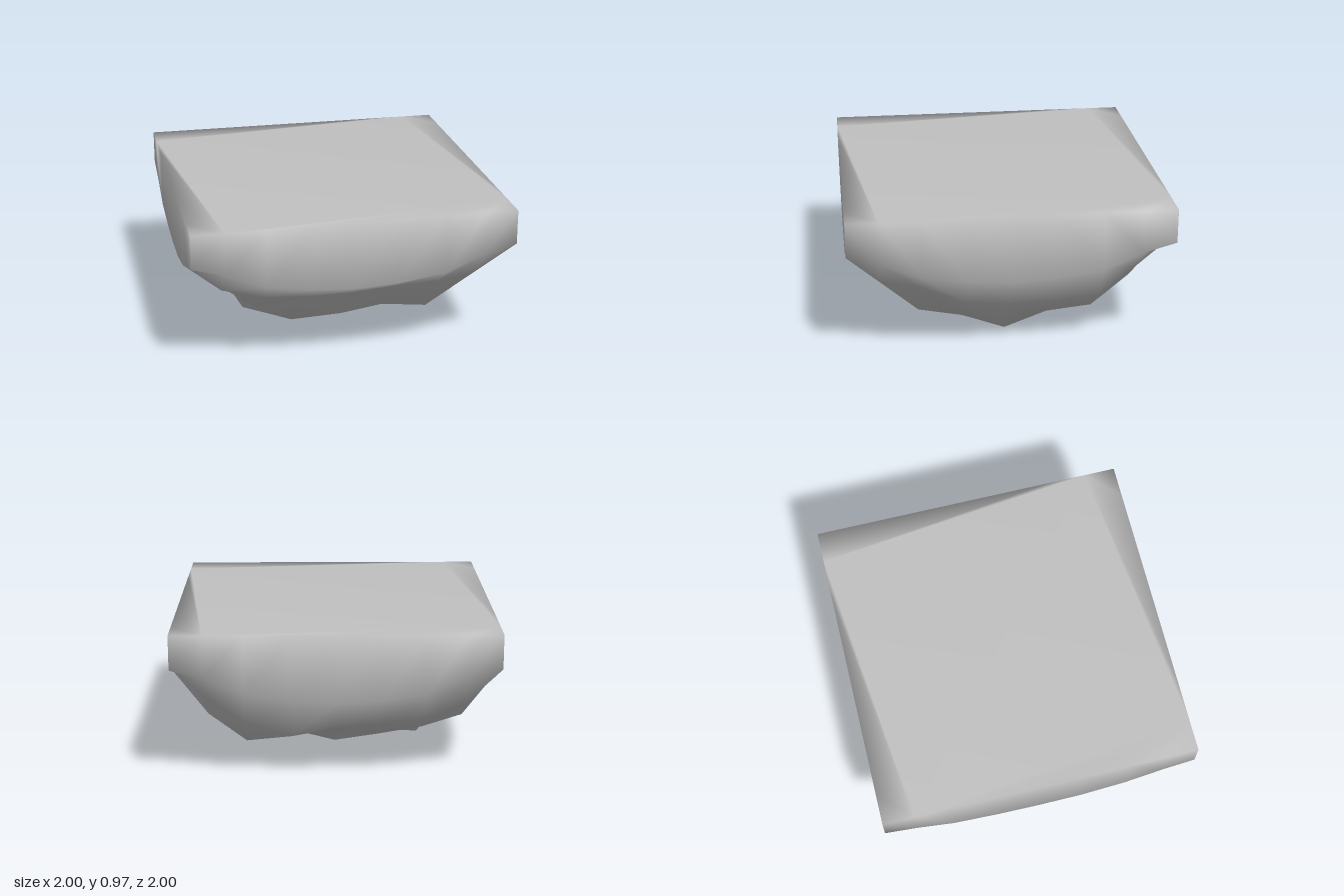
import * as THREE from 'three';
import { mergeVertices } from 'three/addons/utils/BufferGeometryUtils.js';

const TOP = 0.97;
const A = 0.8; // where the flat top's turned square meets the rim
const GRID = [-1, -A, -0.55, -0.27, 0, 0.27, 0.56, A, 1];

// Underside heights: rows run from front (z = 1) to back, columns along x
const HEIGHTS = [
  [0.755, 0.70, 0.60, 0.56, 0.545, 0.56, 0.60, 0.70, 0.755],
  [0.70, 0.52, 0.45, 0.43, 0.43, 0.45, 0.46, 0.50, 0.70],
  [0.60, 0.455, 0.275, 0.28, 0.18, 0.22, 0.185, 0.45, 0.60],
  [0.55, 0.42, 0.18, 0.035, 0.175, 0.20, 0.13, 0.33, 0.56],
  [0.545, 0.46, 0.03, 0.04, 0.00, 0.13, 0.03, 0.31, 0.545],
  [0.56, 0.42, 0.17, 0.10, 0.06, 0.13, 0.13, 0.31, 0.56],
  [0.60, 0.33, 0.25, 0.25, 0.34, 0.19, 0.16, 0.34, 0.60],
  [0.70, 0.48, 0.38, 0.35, 0.32, 0.27, 0.36, 0.53, 0.70],
  [0.755, 0.70, 0.60, 0.56, 0.545, 0.56, 0.60, 0.70, 0.755],
];

// Rocky underside; the outermost ring of the sheet folds up into the walls
function rockGeometry() {
  const sheet = new THREE.PlaneGeometry(2, 2, 10, 10).rotateX(Math.PI / 2);
  sheet.deleteAttribute('uv');
  sheet.deleteAttribute('normal');
  const pos = sheet.attributes.position;
  const clamp = (v) => Math.min(8, Math.max(0, v - 1));
  for (let r = 0; r < 11; r++) {
    for (let c = 0; c < 11; c++) {
      const rim = r === 0 || c === 0 || r === 10 || c === 10;
      const y = rim ? TOP : HEIGHTS[clamp(r)][clamp(c)];
      pos.setXYZ(r * 11 + c, GRID[clamp(c)], y, -GRID[clamp(r)]);
    }
  }
  return mergeVertices(sheet);
}

// Close the rim with a turned square and four narrow wedges, smooth with the walls
function addFlatTop(geo) {
  const p = geo.attributes.position;
  // Nearest rim vertex
  const find = ([x, z]) => {
    let best = -1;
    let bestDistance = Infinity;
    for (let i = 0; i < p.count; i++) {
      const distance = Math.hypot(p.getX(i) - x, p.getY(i) - TOP, p.getZ(i) - z);
      if (distance < bestDistance) [best, bestDistance] = [i, distance];
    }
    return best;
  };
  const index = Array.from(geo.index.array);
  const corners = [];
  let turn = ([x, z]) => [x, z];
  for (let side = 0; side < 4; side++) {
    const apex = find(turn([1, A]));
    corners.push(apex);
    for (let i = 1; i < 8; i++) {
      index.push(find(turn([GRID[i], 1])), find(turn([GRID[i + 1], 1])), apex);
    }
    const previous = turn;
    turn = ([x, z]) => previous([z, -x]);
  }
  const [a, b, c, d] = corners;
  index.push(a, b, c, a, c, d);
  geo.setIndex(index);
  geo.computeVertexNormals();
}

export function createModel() {
  const group = new THREE.Group();
  group.name = 'rockPlatform';
  const stone = new THREE.MeshStandardMaterial({ color: 0xc0c0c0 });
  stone.name = 'stone grey';

  const geo = rockGeometry();
  addFlatTop(geo);
  const rock = new THREE.Mesh(geo, stone);
  rock.name = 'flatToppedRock';
  group.add(rock);
  return group;
}
